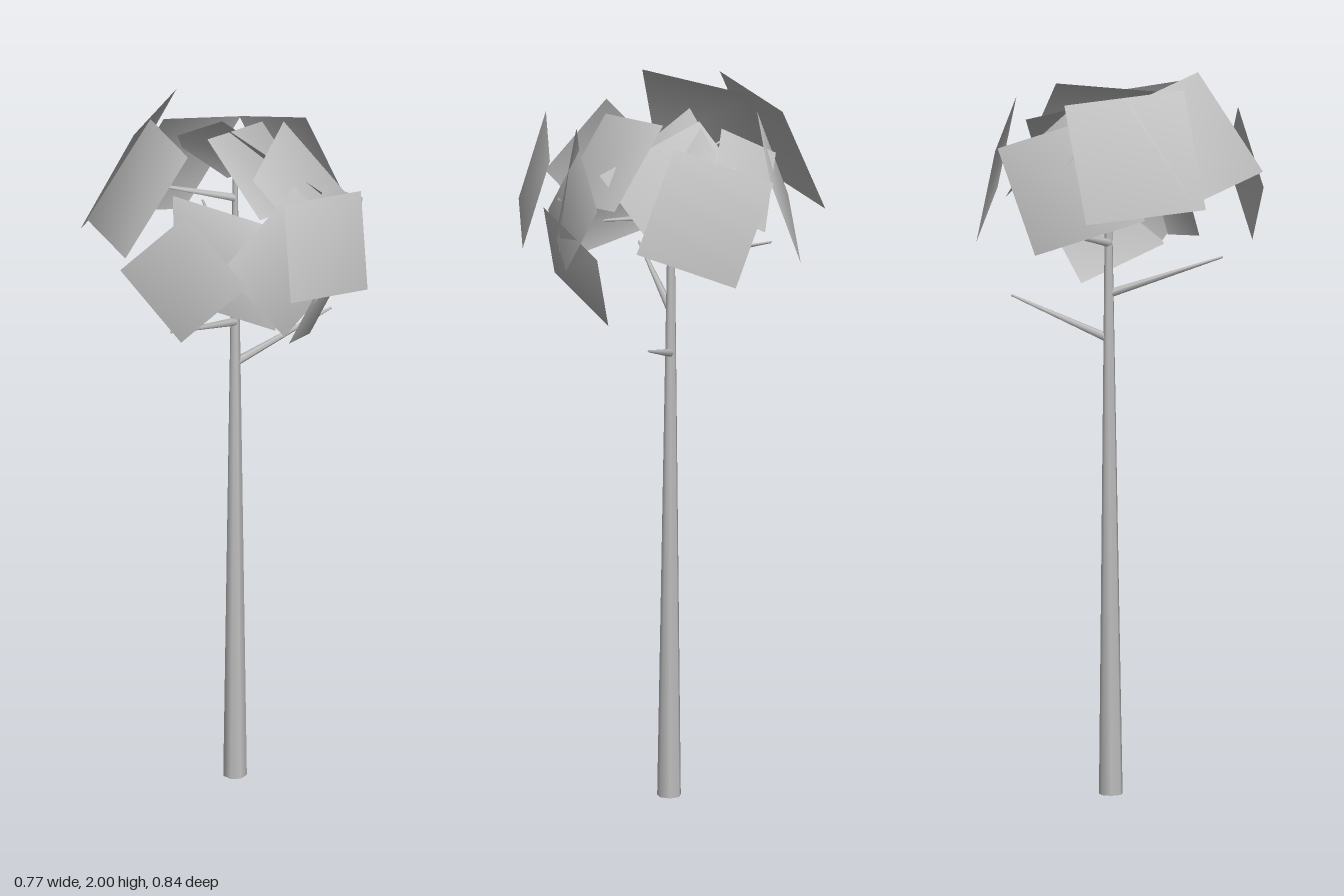
import * as THREE from 'three';

const grey = new THREE.MeshStandardMaterial({ color: 0xc0c0c0, side: THREE.DoubleSide });
grey.name = 'plain grey';

// Tapered open limb between two points
function limb(name, from, to, r0, r1, sides) {
  const a = new THREE.Vector3(...from), b = new THREE.Vector3(...to);
  const dir = b.clone().sub(a);
  const mesh = new THREE.Mesh(new THREE.CylinderGeometry(r1, r0, dir.length(), sides, 1, true), grey);
  mesh.position.copy(a).add(b).multiplyScalar(0.5);
  mesh.quaternion.setFromUnitVectors(new THREE.Vector3(0, 1, 0), dir.normalize());
  mesh.name = name;
  return mesh;
}

// Flat foliage card from three successive corners, with normals rounded about the crown
const crown = new THREE.Vector3(0, 1.6, 0);
function card(p, q, r) {
  const a = new THREE.Vector3(...p), b = new THREE.Vector3(...q), c = new THREE.Vector3(...r);
  const d = a.clone().add(c).sub(b);
  const face = b.clone().sub(a).cross(c.clone().sub(b)).normalize();
  const out = a.clone().add(c).multiplyScalar(0.5).sub(crown);
  const corners = [a, b, c, d];
  if (face.dot(out) < 0) { corners.reverse(); face.negate(); }
  const normals = corners.map(v => v.clone().sub(crown).normalize().add(face).normalize());
  const geo = new THREE.BufferGeometry().setFromPoints(corners);
  geo.setAttribute('normal', new THREE.Float32BufferAttribute(normals.flatMap(n => n.toArray()), 3));
  geo.setIndex([0, 1, 2, 0, 2, 3]);
  const mesh = new THREE.Mesh(geo, grey);
  mesh.name = 'foliageCard';
  return mesh;
}

export function createModel() {
  const tree = new THREE.Group();
  tree.name = 'tree';

  // Trunk
  tree.add(limb('trunk', [0.031, 0, -0.008], [0.036, 1.84, -0.015], 0.033, 0.007, 7));

  // Branches: start height, tip
  const branches = [
    [1.26, [0.33, 1.355, 0]],
    [1.385, [-0.245, 1.485, 0.12]],
    [1.525, [0.1, 1.61, -0.3]],
    [1.765, [-0.17, 1.81, -0.125]],
    [1.65, [0.23, 1.69, 0.14]],
  ];
  for (const [y, tip] of branches) {
    tree.add(limb('branch', [0.034, y, -0.012], tip, 0.012, 0.003, 6));
  }

  // Foliage cards around the crown
  const foliage = new THREE.Group();
  foliage.name = 'foliage';
  // back left, left and front left
  foliage.add(card([-0.08, 1.655, -0.42], [0.03, 1.96, -0.32], [-0.23, 1.985, -0.105]));
  foliage.add(card([-0.375, 1.735, 0.097], [-0.18, 1.995, 0.1], [-0.115, 1.955, -0.22]));
  foliage.add(card([-0.383, 1.695, 0.083], [-0.25, 1.885, 0.21], [-0.148, 1.705, 0.363]));
  foliage.add(card([-0.16, 1.82, -0.015], [0.03, 1.77, 0.2], [-0.01, 1.5, 0.28]));
  // front
  foliage.add(card([-0.017, 1.915, 0.339], [0.257, 1.86, 0.284], [0.232, 1.6, 0.363]));
  foliage.add(card([-0.17, 1.72, 0.267], [0.075, 1.9, 0.24], [0.257, 1.66, 0.265]));
  foliage.add(card([0.015, 1.467, 0.31], [0.183, 1.375, 0.135], [0.325, 1.605, 0.143]));
  foliage.add(card([0.348, 1.75, 0.139], [0.18, 1.87, 0.215], [0.063, 1.66, 0.32]));
  // right side and back
  foliage.add(card([0.232, 1.82, -0.328], [0.328, 1.545, -0.239], [0.383, 1.645, 0.025]));
  foliage.add(card([0.09, 1.55, -0.38], [0.23, 1.825, -0.317], [-0.06, 1.93, -0.235]));
  foliage.add(card([0.175, 1.66, -0.295], [0.265, 1.75, -0.16], [0.08, 1.92, -0.16]));
  // top
  foliage.add(card([-0.02, 1.915, 0.175], [0.19, 1.955, -0.017], [0.325, 1.745, 0.095]));
  foliage.add(card([0.02, 1.77, 0.145], [-0.028, 1.94, -0.055], [0.212, 1.88, -0.17]));
  foliage.add(card([0.057, 1.93, -0.095], [0.183, 1.75, -0.28], [0.335, 1.63, -0.03]));
  tree.add(foliage);
  return tree;
}
